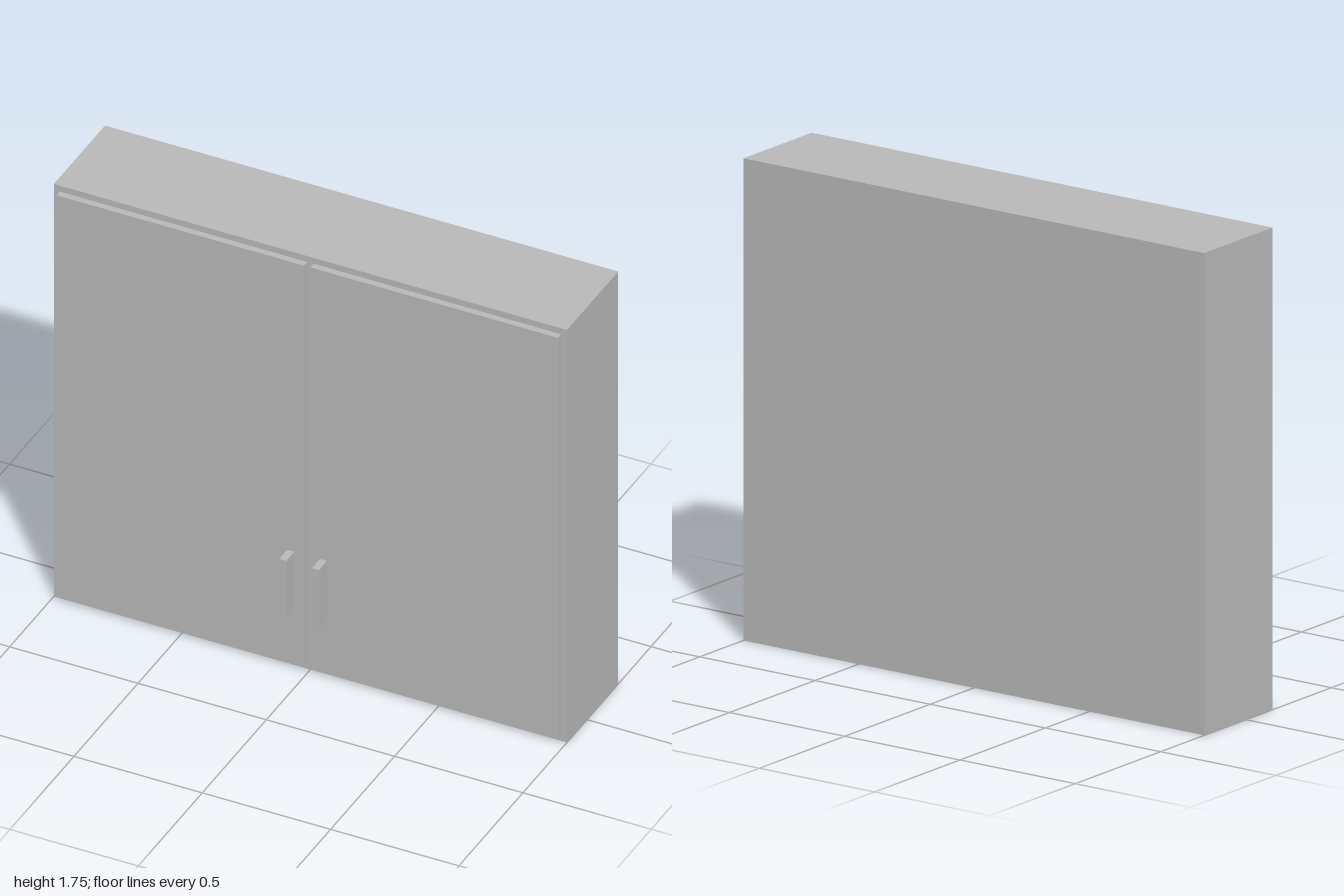
import * as THREE from 'three';

export function createModel() {
  const group = new THREE.Group();
  group.name = 'wallCabinet';
  const grey = new THREE.MeshStandardMaterial({ color: 0xb8b8b8 });
  grey.name = 'grey';

  // Box given by its lower and upper corners
  function box(name, [x0, y0, z0], [x1, y1, z1]) {
    const mesh = new THREE.Mesh(new THREE.BoxGeometry(x1 - x0, y1 - y0, z1 - z0), grey);
    mesh.position.set((x0 + x1) / 2, (y0 + y1) / 2, (z0 + z1) / 2);
    mesh.name = name;
    group.add(mesh);
  }

  const back = -0.244, face = 0.156, doorFace = 0.181, front = 0.244;

  // Cabinet body
  box('body', [-1, 0, back], [1, 1.75, face]);

  // A door and its handle on each side
  for (const [side, s] of [['left', 1], ['right', -1]]) {
    const span = (a, b) => (s > 0 ? [a, b] : [-b, -a]);
    const [d0, d1] = span(0.0125, 0.977);
    box(side + 'Door', [d0, 0.028, face], [d1, 1.725, doorFace]);
    const [h0, h1] = span(0.05, 0.077);
    box(side + 'Handle', [h0, 0.25, doorFace], [h1, 0.5, front]);
  }
  return group;
}
